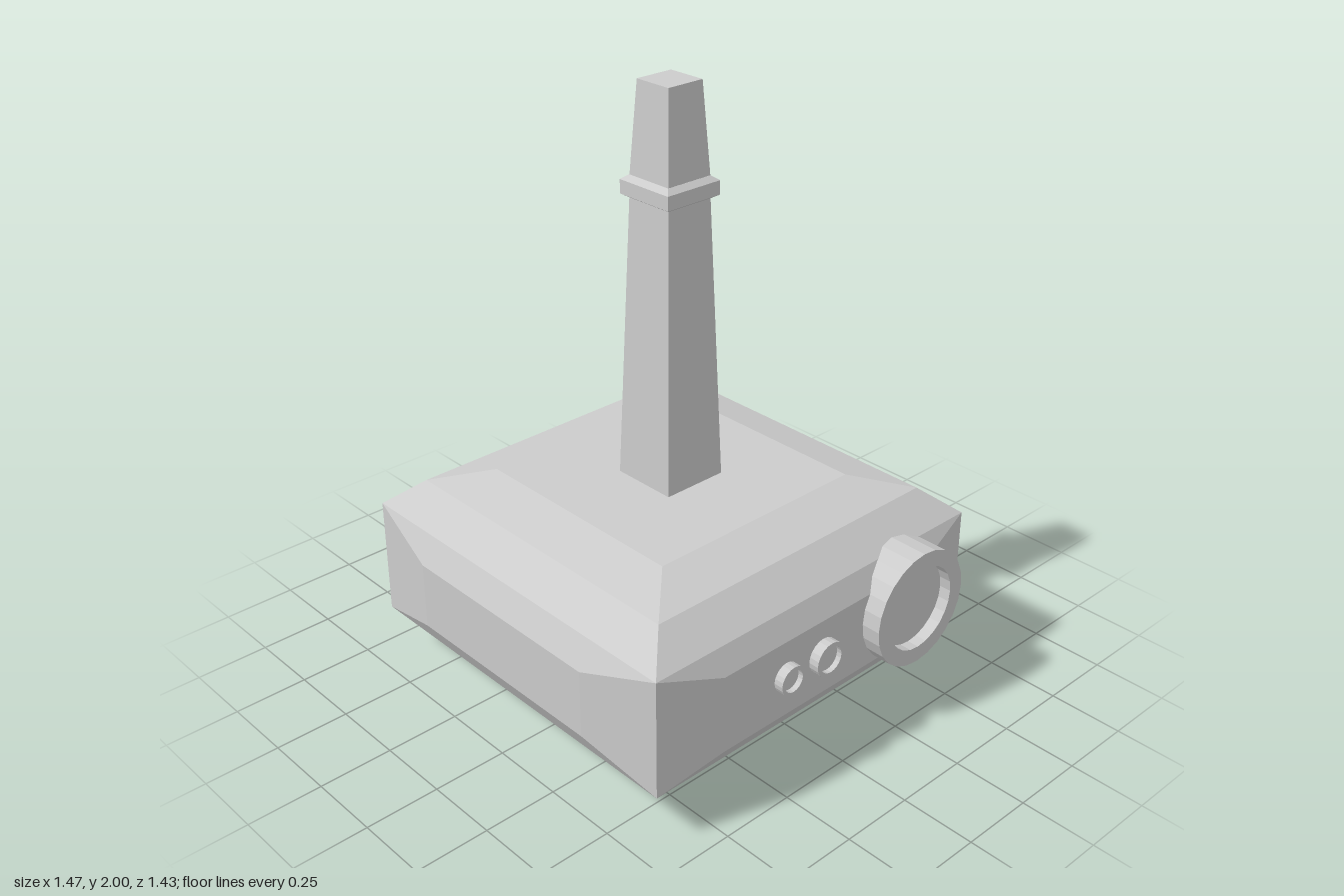
import * as THREE from 'three';

const CX = -0.035; // body and tower share this axis
const mat = new THREE.MeshStandardMaterial({ color: 0xcccccc, flatShading: true });

// Collects corner quads (counter-clockwise from outside) into one geometry
function quadGeometry(quads) {
  const pos = [];
  for (const [a, b, c, d] of quads) pos.push(...a, ...b, ...c, ...a, ...c, ...d);
  const g = new THREE.BufferGeometry();
  g.setAttribute('position', new THREE.Float32BufferAttribute(pos, 3));
  g.computeVertexNormals();
  return g;
}

// Square sections [y, half width] stacked upward and capped; wall(i, at) may replace a band
function squareLoft(levels, sx, sz, wallIndex = -1, wall = null) {
  const quads = [];
  for (let side = 0; side < 4; side++) {
    // Point on this side: u runs along it, w points outward
    const at = (u, y, w) => {
      let x = u, z = w;
      for (let k = 0; k < side; k++) [x, z] = [z, -x];
      return [x * sx, y, z * sz];
    };
    for (let i = 0; i < levels.length - 1; i++) {
      const [y0, h0] = levels[i], [y1, h1] = levels[i + 1];
      if (i === wallIndex) quads.push(...wall(side, at));
      else quads.push([at(-h0, y0, h0), at(h0, y0, h0), at(h1, y1, h1), at(-h1, y1, h1)]);
    }
  }
  const cap = ([y, h], s) => [[-1, s], [1, s], [1, -s], [-1, -s]].map(([x, z]) => [x * h * sx, y, z * h * sz]);
  quads.push(cap(levels[levels.length - 1], 1), cap(levels[0], -1));
  return quadGeometry(quads);
}

// Faceted body whose four walls bulge to an inset rectangle
function bodyGeometry() {
  const yLow = 0.165, yHigh = 0.57;
  const levels = [[0, 0.4], [0.055, 0.685], [yLow, 1], [yHigh, 1], [0.66, 0.84], [0.705, 0.595]];
  const wall = (side, at) => {
    const odd = side % 2 === 1;
    const u = odd ? 0.66 : 0.58, w = odd ? 1.06 : 1.067;
    const y0 = odd ? 0.23 : 0.25, y1 = odd ? 0.495 : 0.48;
    const outer = [at(-1, yLow, 1), at(1, yLow, 1), at(1, yHigh, 1), at(-1, yHigh, 1)];
    const inner = [at(-u, y0, w), at(u, y0, w), at(u, y1, w), at(-u, y1, w)];
    const band = outer.map((p, k) => [p, outer[(k + 1) % 4], inner[(k + 1) % 4], inner[k]]);
    return [...band, inner];
  };
  return squareLoft(levels, 0.665, 0.67, 2, wall);
}

// Round rim with a recessed face, pointing to +x
function dialGeometry(r, rIn, length, recess, sides) {
  const profile = [[0, 0], [r, 0], [r, length], [rIn, length], [rIn, length - recess], [0, length - recess]];
  const g = new THREE.LatheGeometry(profile.map(([a, b]) => new THREE.Vector2(a, b)), sides);
  return g.rotateZ(-Math.PI / 2);
}

export function createModel() {
  const model = new THREE.Group();
  const add = (name, geometry, x, y = 0, z = 0) => {
    const m = new THREE.Mesh(geometry, mat);
    m.name = name;
    m.position.set(x, y, z);
    model.add(m);
  };

  add('body', bodyGeometry(), CX);

  // Tapered square tower with a chamfered collar
  add('tower', squareLoft([[0.68, 0.116], [1.65, 0.085], [1.7, 0.085], [2, 0.067]], 1, 1), CX);
  add('collar', squareLoft([[1.637, 0.083], [1.65, 0.105], [1.695, 0.105], [1.71, 0.085]], 1, 1), CX);

  // Dials on the left wall: [name, radius, inner radius, tip x, y, z, length, recess, sides]
  const dials = [
    ['largeDial', 0.2, 0.145, 0.735, 0.395, -0.355, 0.2, 0.04, 24],
    ['smallDialBack', 0.06, 0.045, 0.705, 0.37, 0.025, 0.06, 0.018, 20],
    ['smallDialFront', 0.05, 0.038, 0.702, 0.37, 0.185, 0.06, 0.018, 20],
  ];
  for (const [name, r, rIn, tip, y, z, len, recess, sides] of dials)
    add(name, dialGeometry(r, rIn, len, recess, sides), tip - len, y, z);

  return model;
}
